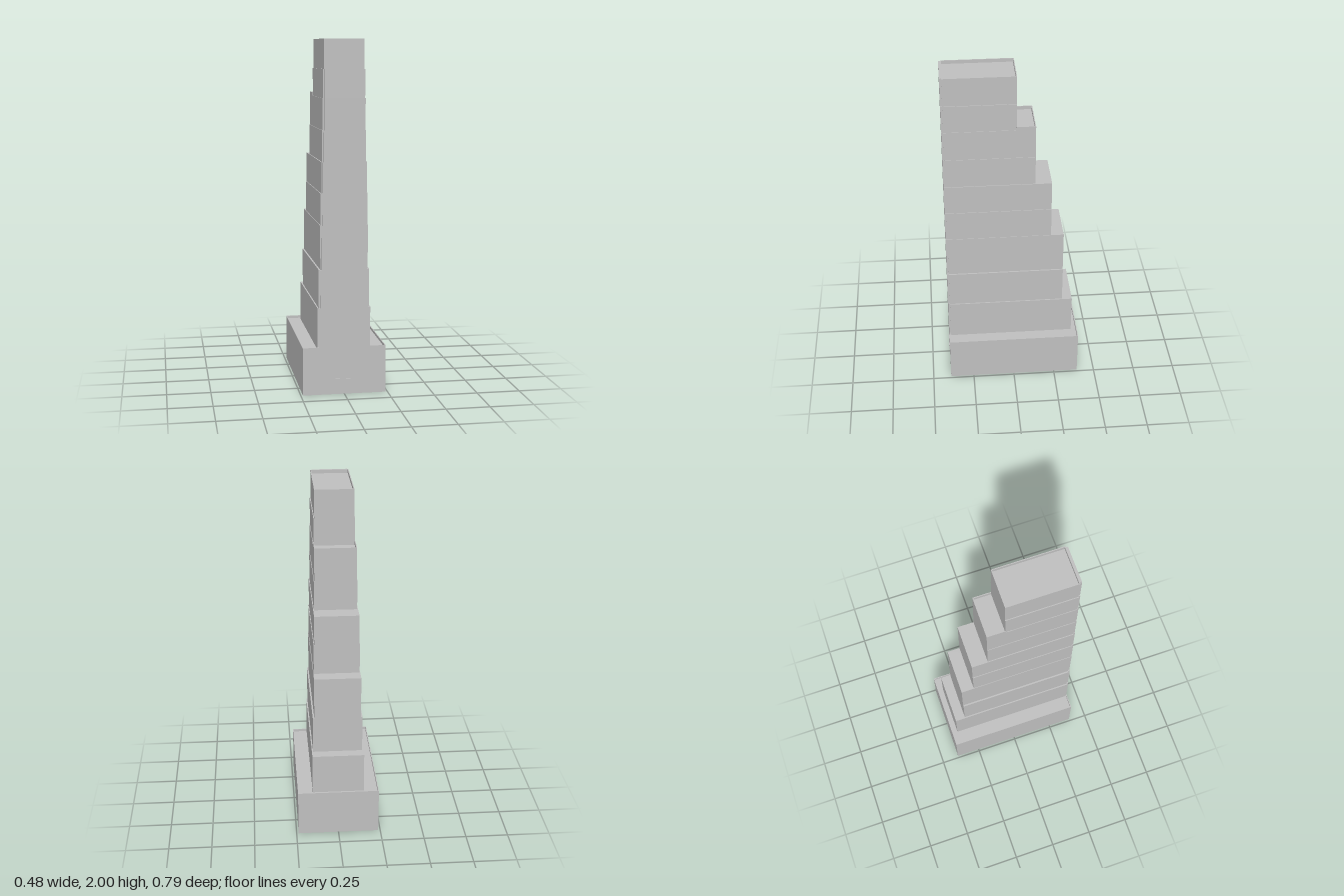
import * as THREE from 'three';

export function createModel() {
  const model = new THREE.Group();
  const concrete = new THREE.MeshStandardMaterial({ color: 0xc0c0c0, side: THREE.DoubleSide });
  concrete.name = 'pale concrete';

  const add = (name, geometry) => {
    const mesh = new THREE.Mesh(geometry, concrete);
    mesh.name = name;
    model.add(mesh);
    return mesh;
  };

  // Box given by its limits
  const block = (name, x0, x1, y0, y1, z0, z1) =>
    add(name, new THREE.BoxGeometry(x1 - x0, y1 - y0, z1 - z0))
      .position.set((x0 + x1) / 2, (y0 + y1) / 2, (z0 + z1) / 2);

  // Rectangular ring of thin walls, open at top and bottom
  const ring = (name, x0, x1, y0, y1, z0, z1, t) => {
    const rect = (s, a, b, c, d) =>
      s.moveTo(a, c).lineTo(b, c).lineTo(b, d).lineTo(a, d).closePath();
    const shape = rect(new THREE.Shape(), x0, x1, -z1, -z0);
    shape.holes.push(rect(new THREE.Path(), x0 + t, x1 - t, -z1 + t, -z0 - t));
    const geometry = new THREE.ExtrudeGeometry(shape, { depth: y1 - y0, bevelEnabled: false });
    geometry.rotateX(-Math.PI / 2).translate(0, y0, 0);
    add(name, geometry);
  };

  // Hollow podium with a recessed roof, and the door canopy
  ring('podiumWalls', -0.238, 0.238, 0, 0.275, -0.395, 0.391, 0.005);
  block('podiumRoof', -0.234, 0.234, 0.255, 0.26, -0.391, 0.387);
  block('doorCanopy', -0.055, 0.055, 0.06, 0.09, 0.39, 0.395);

  // Tower storeys: [bottom, half width, back z]
  const storeys = [
    [0.26, 0.151, -0.36],
    [0.5, 0.144, -0.3],
    [0.72, 0.135, -0.3],
    [0.97, 0.132, -0.225],
    [1.15, 0.128, -0.225],
    [1.325, 0.123, -0.13],
    [1.5, 0.12, -0.13],
    [1.675, 0.117, -0.025],
    [1.835, 0.112, -0.025],
  ];
  const cx = -0.001;
  storeys.forEach(([y0, h, back], i) => {
    const top = i < storeys.length - 1 ? storeys[i + 1][0] : 1.98;
    block('towerStorey', cx - h, cx + h, y0, top, back, 0.38);
    // Slightly narrower facade slab in front
    const panelTop = top === 1.98 ? 2 : top;
    block('facadePanel', cx - h + 0.007, cx + h - 0.007, y0, panelTop, 0.38, 0.391);
  });

  // Parapets on the top roof and on the highest terrace
  ring('roofParapet', cx - 0.112, cx + 0.112, 1.98, 2, -0.025, 0.38, 0.005);
  ring('terraceParapet', cx - 0.12, cx + 0.12, 1.675, 1.695, -0.13, -0.02, 0.005);

  return model;
}
